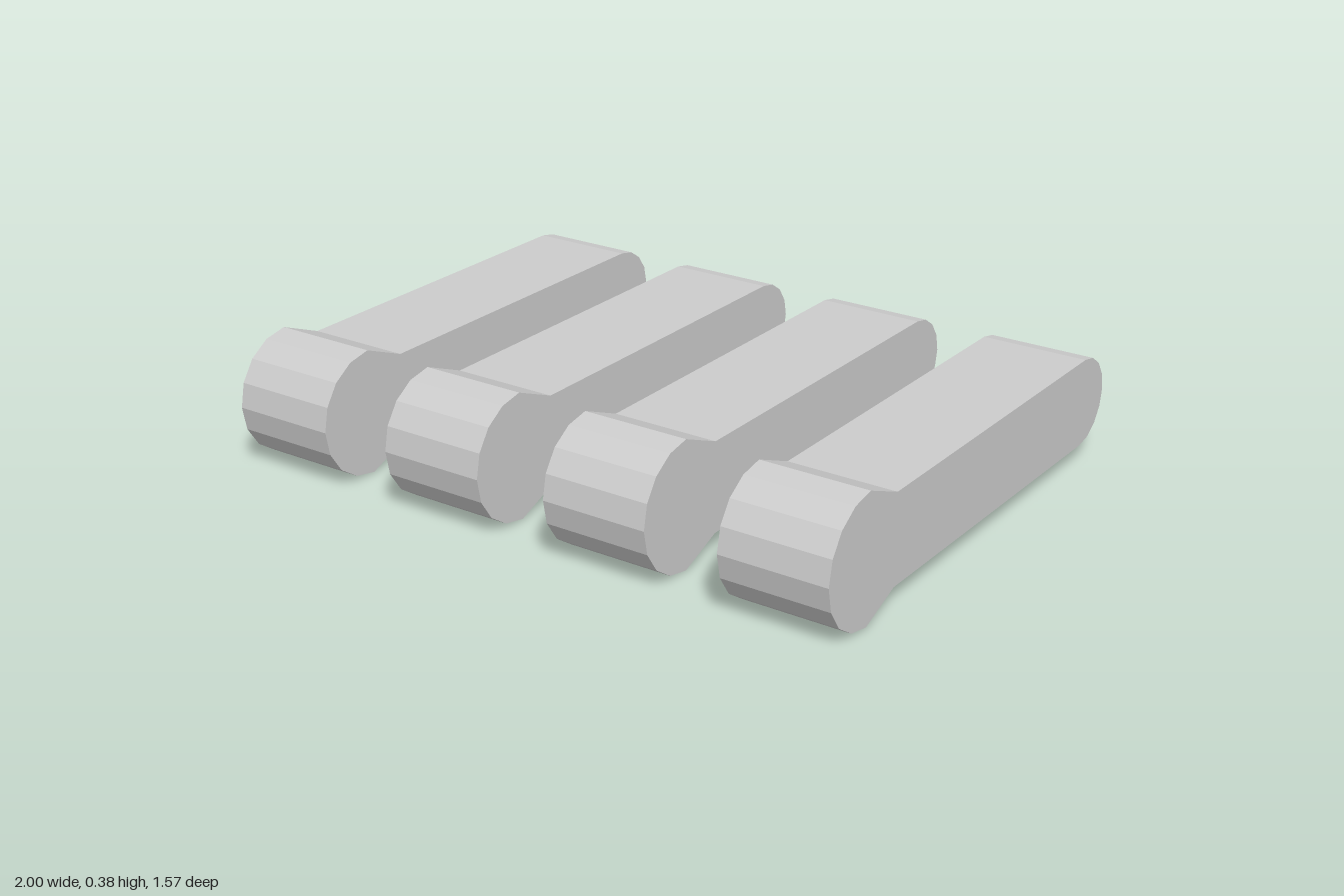
import * as THREE from 'three';

const MID = 0.193, WIDTH = 0.33;

// Side profile (z, y): large rounded head in front, slim shank with round tail
function profile() {
  const points = [];
  const arc = (z, radius, start) => {
    for (let i = 0; i <= 8; i++) {
      const a = start + (i * Math.PI) / 8;
      points.push(new THREE.Vector2(z + radius * Math.cos(a), MID + radius * Math.sin(a)));
    }
  };
  arc(0.593, 0.192, -Math.PI / 2); // head
  points.push(new THREE.Vector2(0.455, MID + 0.136)); // upper neck
  arc(-0.648, 0.136, Math.PI / 2); // tail
  points.push(new THREE.Vector2(0.455, MID - 0.136)); // lower neck
  return new THREE.Shape(points);
}

export function createModel() {
  const group = new THREE.Group();
  const material = new THREE.MeshStandardMaterial({ color: 0xcccccc, flatShading: true });
  const geometry = new THREE.ExtrudeGeometry(profile(), { depth: WIDTH, bevelEnabled: false });
  geometry.translate(0, 0, -WIDTH / 2).rotateY(-Math.PI / 2);

  // Four identical bars side by side
  for (let i = 0; i < 4; i++) {
    const bar = new THREE.Mesh(geometry, material);
    bar.name = `bar${i + 1}`;
    bar.position.x = (i - 1.5) * (2 - WIDTH) / 3;
    group.add(bar);
  }
  return group;
}
